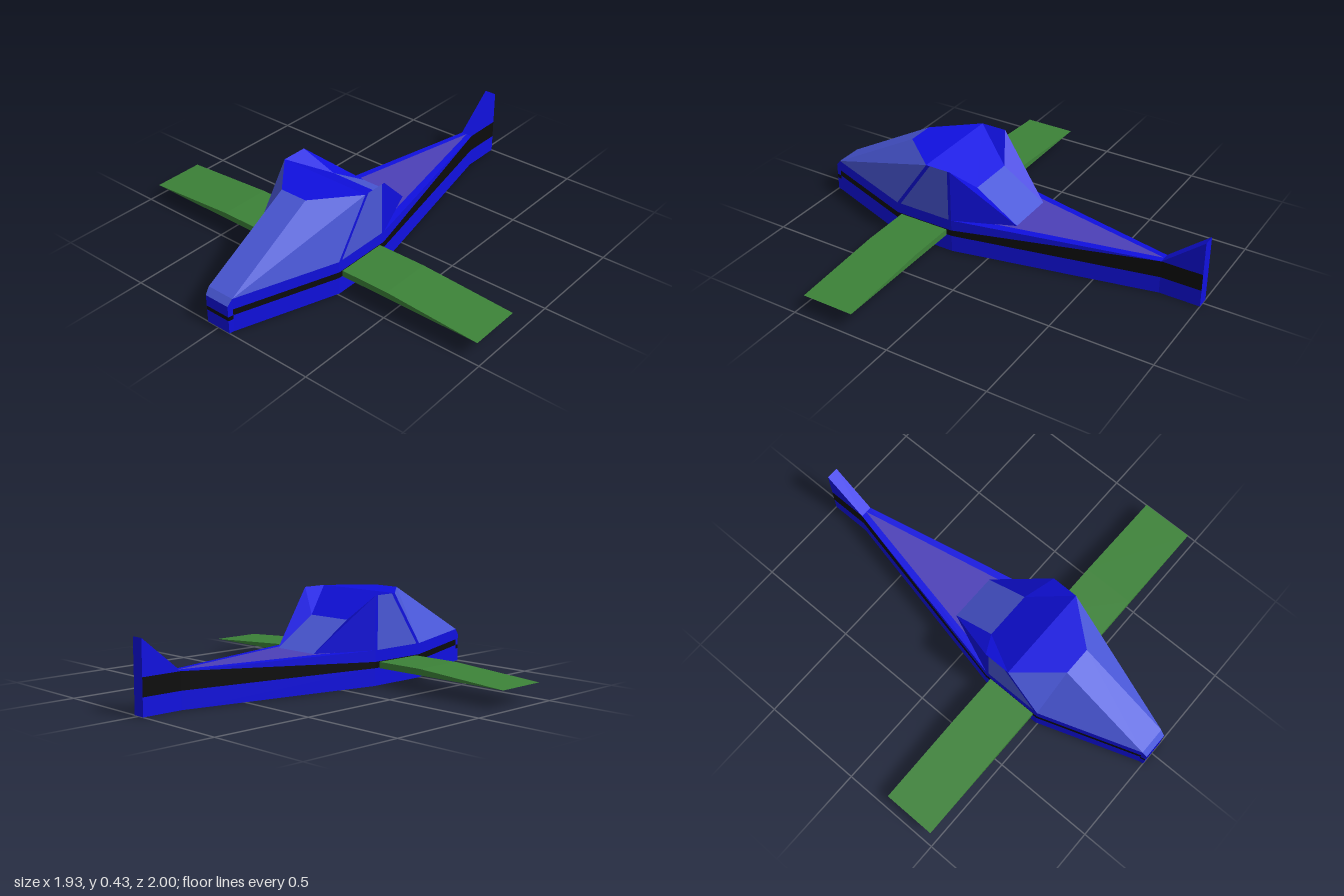
import * as THREE from 'three';

const BLUE = 0x1010e0, BLACK = 0x0c0c0c, GREEN = 0x3c8238, GLASS = 0x4a58d8, PURPLE = 0x4c40b8;

// Mesh from flat convex polygons, each listed counter-clockwise from outside
function panels(name, color, polys) {
  const pos = [];
  for (const p of polys)
    for (let i = 1; i < p.length - 1; i++) pos.push(...p[0], ...p[i], ...p[i + 1]);
  const g = new THREE.BufferGeometry();
  g.setAttribute('position', new THREE.Float32BufferAttribute(pos, 3));
  g.computeVertexNormals();
  const m = new THREE.Mesh(g, new THREE.MeshStandardMaterial({ color, flatShading: true, side: THREE.DoubleSide }));
  m.name = name;
  return m;
}

// The polygons plus their mirror images across x = 0
const flip = p => p.map(([x, y, z]) => [-x, y, z]).reverse();
const both = polys => [...polys, ...polys.map(flip)];

function createHull() {
  const hull = new THREE.Group();
  hull.name = 'hull';
  // stations from nose to tail: half width, z, stripe bottom, stripe top, deck height
  const st = [
    [0.065, 1.0, 0.065, 0.085, 0.14],
    [0.07, 0.975, 0.065, 0.085, 0.17],
    [0.07, 0.975, 0.085, 0.115, 0.17],
    [0.24, 0.49, 0.085, 0.115, 0.17],
    [0.24, 0.18, 0.085, 0.115, 0.17],
    [0.03, -0.8, 0.085, 0.17, 0.17],
    [0.03, -1.0, 0.085, 0.17, 0.17],
  ];
  const blue = [], black = [], deck = [], floor = [];
  for (let i = 0; i < st.length - 1; i++) {
    const a = st[i], b = st[i + 1];
    if (a[1] === b[1]) continue;
    const band = (a0, a1, b0, b1) =>
      [[a[0], a0, a[1]], [b[0], b0, b[1]], [b[0], b1, b[1]], [a[0], a1, a[1]]];
    const across = (ya, yb) =>
      [[-a[0], ya, a[1]], [a[0], ya, a[1]], [b[0], yb, b[1]], [-b[0], yb, b[1]]];
    blue.push(band(0, a[2], 0, b[2]));
    black.push(band(a[2], a[3], b[2], b[3]));
    if (a[3] < a[4]) blue.push(band(a[3], a[4], b[3], b[4]));
    deck.push(across(a[4], b[4]));
    floor.push(across(0, 0).reverse());
  }
  const wall = (w, z, y0, y1) => [[-w, y0, z], [w, y0, z], [w, y1, z], [-w, y1, z]];
  hull.add(
    panels('hullSides', BLUE, both(blue)),
    panels('sideStripes', BLACK, both(black)),
    panels('deck', BLUE, deck.slice(1)),
    panels('noseLip', GLASS, deck.slice(0, 1)),
    panels('floor', PURPLE, floor),
    panels('noseFace', BLUE, [wall(0.065, 1, 0, 0.065), wall(0.065, 1, 0.085, 0.14)]),
    panels('noseStripe', BLACK, [wall(0.065, 1, 0.065, 0.085)]),
    panels('tailFace', BLUE, [wall(0.03, -1, 0, 0.17).reverse()]),
    panels('rearDeckPanel', PURPLE, [[[-0.185, 0.172, 0.1], [0.185, 0.172, 0.1], [0, 0.172, -0.8]]]),
  );
  return hull;
}

function createCanopy() {
  const canopy = new THREE.Group();
  canopy.name = 'canopy';
  const top = 0.43, base = 0.17;
  const nose = [0.07, base, 0.975], brow = [0.07, top, 0.51];
  const corner = [0.24, top, 0.31], cornerFoot = [0.24, base, 0.49];
  const post = [0.24, top, 0.18], postFoot = [0.24, base, 0.18];
  const sill = [0.12, 0.31, 0.11], heel = [0.12, base, -0.11];
  const m = ([x, y, z]) => [-x, y, z];
  const back = ([x, y, z]) => [x, y, z - 0.02];
  const ahead = ([x, y, z]) => [x, y, z + 0.015];

  canopy.add(
    panels('windscreen', GLASS, [[m(nose), nose, brow, m(brow)]]),
    panels('sideGlass', GLASS, both([
      [nose, cornerFoot, corner, brow],
      [back(cornerFoot), ahead(postFoot), ahead(post), back(corner)],
    ])),
    panels('canopyFrame', BLUE, both([
      [cornerFoot, back(cornerFoot), back(corner), corner],
      [ahead(postFoot), postFoot, post, ahead(post)],
    ])),
    // front of the roof is level, the rear dips between the raised side edges
    panels('roof', BLUE, [
      [m(brow), brow, corner, m(corner)],
      [m(corner), corner, sill, m(sill)],
    ]),
    panels('rearWindow', GLASS, [[m(sill), sill, heel, m(heel)]]),
    panels('rearButtresses', BLUE, both([
      [corner, post, sill],
      [post, heel, sill],
      [postFoot, heel, post],
    ])),
  );
  return canopy;
}

// Wing with a flat underside, thinning to an edge at the tip
function createWing(side) {
  const s = new THREE.Shape();
  s.moveTo(0.2, 0.082);
  s.lineTo(0.965, 0.082);
  s.lineTo(0.49, 0.112);
  s.lineTo(0.2, 0.112);
  const g = new THREE.ExtrudeGeometry(s, { depth: 0.26, bevelEnabled: false });
  g.translate(0, 0, 0.208);
  if (side < 0) { g.rotateY(Math.PI); g.translate(0, 0, 0.676); }
  const wing = new THREE.Mesh(g, new THREE.MeshStandardMaterial({ color: GREEN, flatShading: true }));
  wing.name = side > 0 ? 'leftWing' : 'rightWing';
  return wing;
}

// Upright wedge on the tail
function createFin() {
  const w = 0.03;
  const side = [[w, 0.17, -0.8], [w, 0.17, -1], [w, 0.335, -1]];
  return panels('tailFin', BLUE, [
    ...both([side]),
    [[-w, 0.17, -0.8], [w, 0.17, -0.8], [w, 0.335, -1], [-w, 0.335, -1]],
    [[w, 0.17, -1], [-w, 0.17, -1], [-w, 0.335, -1], [w, 0.335, -1]],
  ]);
}

export function createModel() {
  const model = new THREE.Group();
  model.name = 'aircraft';
  model.add(createHull(), createCanopy(), createWing(1), createWing(-1), createFin());
  return model;
}
